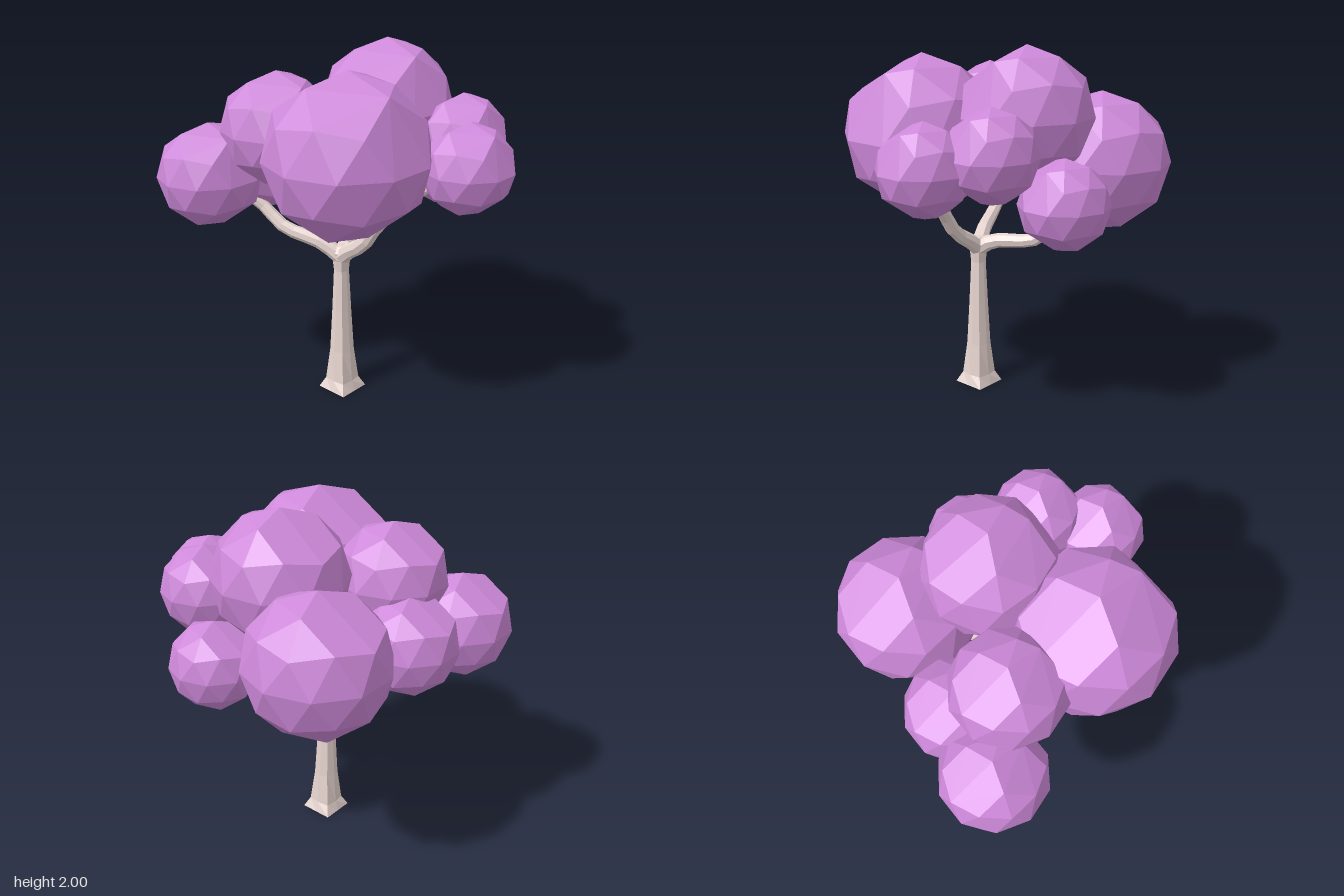
import * as THREE from 'three';
import { ConvexGeometry } from 'three/addons/geometries/ConvexGeometry.js';

const leafMat = new THREE.MeshStandardMaterial({ color: 0xce89da, flatShading: true });
const barkMat = new THREE.MeshStandardMaterial({ color: 0xe6d4cf, flatShading: true });

function addMesh(parent, name, geometry, material) {
  const mesh = new THREE.Mesh(geometry, material);
  mesh.name = name;
  parent.add(mesh);
  return mesh;
}

// Tapered eight-sided limb along a smooth path, closed at its tip
function addBranch(parent, name, points, r0, r1) {
  const path = new THREE.CatmullRomCurve3(points.map(p => new THREE.Vector3(...p)));
  const segments = 9, sides = 8;
  const geo = new THREE.TubeGeometry(path, segments, 1, sides);
  const pos = geo.attributes.position;
  const v = new THREE.Vector3();
  for (let i = 0; i <= segments; i++) {
    const c = path.getPointAt(i / segments);
    const r = THREE.MathUtils.lerp(r0, r1, Math.sqrt(i / segments));
    for (let j = 0; j <= sides; j++) {
      const k = i * (sides + 1) + j;
      v.fromBufferAttribute(pos, k).sub(c).multiplyScalar(r).add(c);
      pos.setXYZ(k, v.x, v.y, v.z);
    }
  }
  const group = new THREE.Group();
  group.name = name;
  addMesh(group, name + 'Limb', geo, barkMat);
  const tip = addMesh(group, name + 'Tip', new THREE.CircleGeometry(r1, sides), barkMat);
  tip.position.copy(path.getPointAt(1));
  tip.quaternion.setFromUnitVectors(new THREE.Vector3(0, 0, 1), path.getTangentAt(1));
  parent.add(group);
}

// Faceted ball with a vertex at the top, some small facets merged into broad ones
function leafBall() {
  const ico = new THREE.IcosahedronGeometry(1, 1);
  ico.rotateZ(Math.atan(2 / (1 + Math.sqrt(5))));
  const toVectors = list => list.map(p => new THREE.Vector3(...p));
  const dropped = toVectors([[-0.526, 0.851, 0], [0.425, 0.851, 0.309], [0.851, 0.526, 0], [0.526, -0.851, 0]]);
  const points = toVectors([[0.61, 0.79, 0], [0.32, -0.9, 0]]);
  const pos = ico.attributes.position;
  for (let i = 0; i < pos.count; i++) {
    const v = new THREE.Vector3().fromBufferAttribute(pos, i);
    const near = p => p.distanceTo(v) < 0.02;
    if (!dropped.some(near) && !points.some(near)) points.push(v);
  }
  return new ConvexGeometry(points);
}

export function createModel() {
  const tree = new THREE.Group();
  tree.name = 'tree';

  // Trunk: eight-sided, flaring to a square foot
  const profile = [[0, 0], [0.095, 0], [0.077, 0.06], [0.063, 0.25], [0.05, 0.5],
    [0.039, 0.75], [0.046, 0.82], [0.052, 0.86], [0.03, 0.895], [0, 0.9]];
  const trunkGeo = new THREE.LatheGeometry(profile.map(p => new THREE.Vector2(...p)), 8);
  const pos = trunkGeo.attributes.position;
  for (let i = 0; i < pos.count; i++) {
    const side = Math.floor(i / profile.length);
    const y = pos.getY(i);
    const corner = y < 0.01 ? Math.SQRT2 : y < 0.1 ? 1.22 : 1.08;
    if (side % 2) pos.setXYZ(i, pos.getX(i) * corner, y, pos.getZ(i) * corner);
  }
  addMesh(tree, 'trunk', trunkGeo, barkMat).position.set(-0.015, 0, 0.125);

  // Three branches from the fork
  addBranch(tree, 'frontBranch',
    [[-0.015, 0.83, 0.125], [-0.12, 0.905, 0.18], [-0.31, 0.97, 0.27], [-0.44, 1.08, 0.31], [-0.53, 1.17, 0.38]], 0.05, 0.032);
  addBranch(tree, 'sideBranch',
    [[-0.015, 0.83, 0.125], [0.06, 0.89, 0.13], [0.16, 0.955, 0.135], [0.25, 1.08, 0.13], [0.39, 1.24, 0.07], [0.5, 1.34, 0]], 0.05, 0.032);
  addBranch(tree, 'backBranch',
    [[-0.015, 0.83, 0.125], [-0.05, 0.88, 0.04], [-0.13, 0.91, -0.18], [-0.16, 0.96, -0.25], [-0.165, 1.12, -0.37]], 0.05, 0.032);

  // Foliage [x, y, z, radius, turn]
  const clumps = [
    [0.0, 1.635, -0.235, 0.365, -0.15], [0.215, 1.5, 0.32, 0.44, 0], [-0.31, 1.55, 0.3, 0.31, 0],
    [-0.6, 1.285, 0.54, 0.29, 0], [-0.41, 1.355, -0.425, 0.385, 0], [0.13, 1.235, -0.595, 0.24, 0],
    [0.42, 1.495, -0.365, 0.245, 0], [0.64, 1.425, -0.12, 0.245, 0], [-0.54, 1.285, 0.15, 0.275, 0],
  ];
  const ball = leafBall();
  const foliage = new THREE.Group();
  foliage.name = 'foliage';
  clumps.forEach(([x, y, z, r, turn], i) => {
    const clump = addMesh(foliage, 'leafClump' + (i + 1), ball, leafMat);
    clump.position.set(x, y, z);
    clump.rotation.y = turn;
    clump.scale.setScalar(r);
  });
  tree.add(foliage);
  return tree;
}
